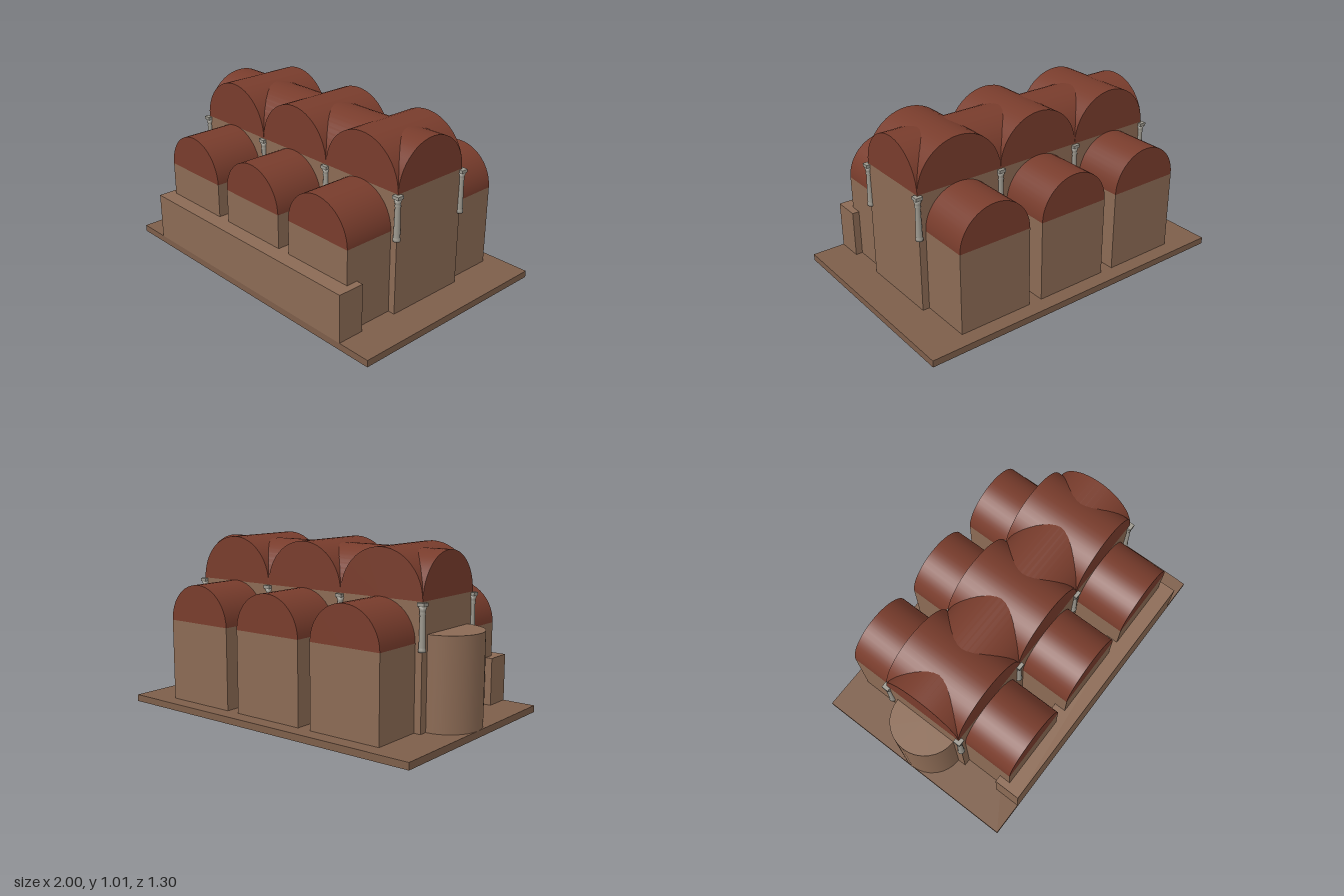
import * as THREE from 'three';

const brick = new THREE.MeshStandardMaterial({ color: 0x8b6a54 });
const ground = new THREE.MeshStandardMaterial({ color: 0x7d5e4a, side: THREE.DoubleSide });
const roof = new THREE.MeshStandardMaterial({ color: 0x783c2c });
const stone = new THREE.MeshStandardMaterial({ color: 0x9c988e });

const BASE = 0.04;      // top of the plinth
const BAY = 1.6 / 3;    // bay spacing along x
const NAVE_Z = 0.25;    // half depth of the nave
const NAVE_TOP = 0.74;

function add(parent, name, geometry, material, x = 0, y = 0, z = 0) {
  const mesh = new THREE.Mesh(geometry, material);
  mesh.name = name;
  mesh.position.set(x, y, z);
  parent.add(mesh);
  return mesh;
}

// Box given by its lowest and highest corner
function block(parent, name, material, [x0, y0, z0], [x1, y1, z1]) {
  return add(parent, name, new THREE.BoxGeometry(x1 - x0, y1 - y0, z1 - z0), material,
    (x0 + x1) / 2, (y0 + y1) / 2, (z0 + z1) / 2);
}

// Half cylinder lying along z, round side up, with closed ends
function barrel(radius, length) {
  return new THREE.CylinderGeometry(radius, radius, length, 24, 1, false, Math.PI / 2, Math.PI)
    .rotateX(Math.PI / 2);
}

// Slab that is open underneath
function openSlab(w, h, d) {
  const g = new THREE.BoxGeometry(w, h, d);
  const index = Array.from(g.index.array);
  index.splice(18, 6); // bottom face
  g.setIndex(index);
  g.clearGroups();
  return g;
}

function makeColumn() {
  const column = new THREE.Group();
  column.name = 'column';
  const profile = [
    [0, 0], [0.021, 0], [0.021, 0.012], [0.018, 0.018], [0.018, 0.025],
    [0.0145, 0.19], [0.018, 0.197], [0.015, 0.203], [0.016, 0.215], [0.023, 0.238], [0, 0.238],
  ].map(([x, y]) => new THREE.Vector2(x, y));
  add(column, 'columnShaft', new THREE.LatheGeometry(profile, 16), stone);
  add(column, 'columnAbacus', new THREE.BoxGeometry(0.042, 0.018, 0.042), stone, 0, 0.247, 0);
  return column;
}

export function createModel() {
  const model = new THREE.Group();
  model.name = 'vaultedBasilica';

  add(model, 'plinth', openSlab(2, BASE, 1.3), ground, 0, BASE / 2, 0);

  // Central hall, its long vault, the apse and the low front porch
  block(model, 'nave', brick, [-0.8, BASE, -NAVE_Z], [0.8, NAVE_TOP, NAVE_Z]);
  add(model, 'naveVault', barrel(NAVE_Z, 1.6).rotateY(Math.PI / 2), roof, 0, NAVE_TOP, 0);
  add(model, 'apse', new THREE.CylinderGeometry(0.2, 0.2, 0.525, 32), brick, -0.8, BASE + 0.2625, 0);
  block(model, 'frontPorch', brick, [-0.8, BASE, 0.49], [0.8, 0.32, 0.65]);

  // Three bays, each a cross vault with a vaulted chamber on both sides
  for (const i of [-1, 0, 1]) {
    const x = i * BAY;
    add(model, 'crossVault', barrel(BAY / 2, 2 * NAVE_Z), roof, x, NAVE_TOP, 0);
    for (const s of [-1, 1]) {
      const z = s * 0.405;
      add(model, 'sideChamber', new THREE.BoxGeometry(0.45, 0.48, 0.31), brick, x, BASE + 0.24, z);
      add(model, 'sideVault', barrel(0.225, 0.31), roof, x, 0.52, z);
    }
  }

  // Columns under the springing of the cross vaults
  for (let i = 0; i < 4; i++) {
    for (const s of [-1, 1]) {
      const column = makeColumn();
      column.position.set(-0.8 + i * BAY, 0.48, s * NAVE_Z);
      model.add(column);
    }
  }
  return model;
}
